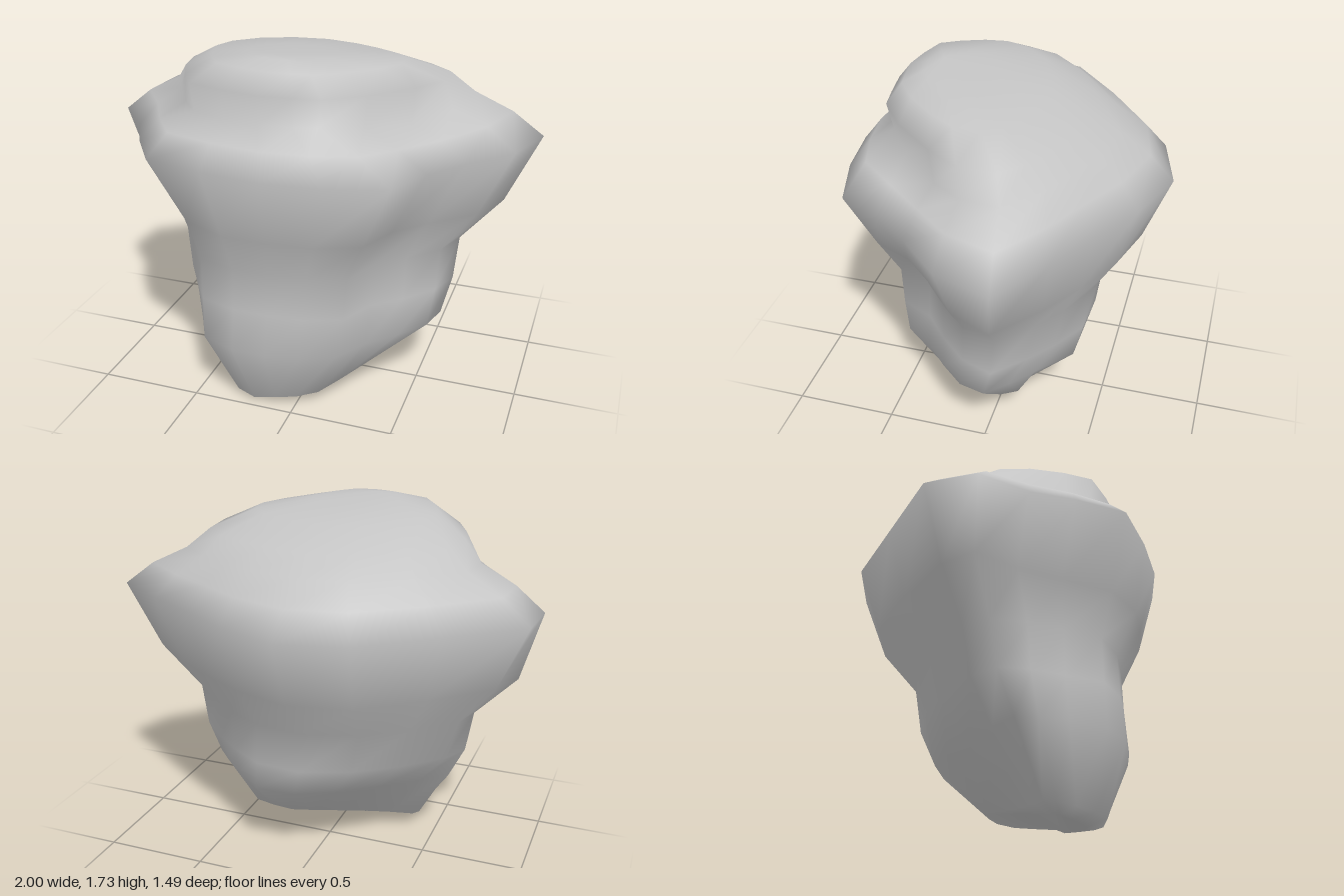
import * as THREE from 'three';

// Outlines as x, z pairs, running from the front towards +x and round the back
const foot = [-.1, .45, 0, .43, .1, .38, .18, .28, .26, .17, .33, .05, .38, -.05, .35, -.13, .25, -.15, .15, -.15,
  .05, -.08, -.05, 0, -.15, .08, -.27, .16, -.38, .22, -.4, .28, -.37, .36, -.3, .43, -.2, .47];
const lower = [-.1, .57, .06, .55, .22, .48, .32, .34, .45, .22, .56, .1, .6, -.03, .51, -.13, .4, -.23, .24, -.38,
  .04, -.37, -.13, -.27, -.3, -.13, -.46, .02, -.58, .14, -.57, .24, -.51, .36, -.43, .51, -.26, .57];
const waist = [-.08, .55, .1, .54, .27, .48, .34, .31, .47, .2, .6, .06, .66, -.1, .5, -.25, .37, -.35, .2, -.43,
  -.03, -.46, -.28, -.38, -.48, -.25, -.67, -.07, -.71, .06, -.64, .21, -.54, .35, -.43, .5, -.25, .55];
const shoulder = [-.05, .65, .16, .63, .36, .55, .44, .37, .57, .23, .76, .06, .85, -.14, .63, -.32, .44, -.44, .24, -.55,
  -.03, -.63, -.32, -.57, -.59, -.36, -.84, -.12, -.91, .04, -.74, .19, -.61, .36, -.46, .56, -.25, .65];
const rim = [-.03, .74, .23, .71, .5, .63, .6, .43, .73, .26, .91, .07, 1, -.19, .74, -.36, .5, -.49, .26, -.64,
  -.03, -.75, -.34, -.67, -.66, -.42, -.98, -.17, -1, .07, -.83, .26, -.73, .45, -.59, .65, -.31, .71];
const ledge = [-.1, .56, .05, .54, .15, .51, .31, .39, .47, .21, .62, .05, .68, -.14, .52, -.28, .36, -.37, .2, -.45,
  -.03, -.5, -.26, -.46, -.5, -.3, -.68, -.1, -.7, .08, -.62, .22, -.52, .38, -.43, .48, -.27, .53];
const crown = [-.1, .57, .05, .55, .17, .53, .33, .41, .49, .22, .58, .07, .57, -.1, .46, -.2, .33, -.27, .18, -.33,
  -.03, -.37, -.25, -.33, -.45, -.22, -.58, -.07, -.62, .08, -.59, .22, -.52, .37, -.44, .49, -.27, .54];
const COUNT = rim.length / 2;

const mix = (a, b, t) => a.map((v, i) => v + (b[i] - v) * t);

// Shrink an outline towards a centre point
const shrink = (outline, s, centre) => outline.map((v, i) => centre[i % 2] + (v - centre[i % 2]) * s);

// Set an outline at a height, tilted along x and z, with a hollow sunk at the front left
function section(outline, y, slopeX = 0, slopeZ = 0, hollow = 0) {
  return Array.from({ length: COUNT }, (_, i) => {
    const x = outline[2 * i], z = outline[2 * i + 1];
    const sink = hollow * Math.exp(-((x - .5) ** 2 + (z - .25) ** 2) / .05);
    return [x, y + slopeX * x + slopeZ * z - sink, z];
  });
}

// Skin stacked sections and close both ends with a fan
function loft(sections, bottom, top) {
  const points = [...sections.flat(), bottom, top];
  const low = points.length - 2, high = points.length - 1;
  const last = (sections.length - 1) * COUNT;
  const index = [];
  for (let i = 0; i < COUNT; i++) {
    const j = (i + 1) % COUNT;
    for (let r = 0; r < last; r += COUNT) {
      const a = r + i, b = r + j, c = b + COUNT, d = a + COUNT;
      index.push(a, b, c, a, c, d);
    }
    index.push(low, j, i, high, last + i, last + j);
  }
  const geometry = new THREE.BufferGeometry();
  geometry.setAttribute('position', new THREE.Float32BufferAttribute(points.flat(), 3));
  geometry.setIndex(index);
  geometry.computeVertexNormals();
  return geometry;
}

export function createModel() {
  const stone = new THREE.MeshStandardMaterial({ color: 0xc4c4c4 });
  stone.name = 'grey stone';
  const footCentre = [-.1, .27], topCentre = [-.05, .33];

  const sections = [
    // slanted foot, leaning to the front
    section(shrink(foot, .5, footCentre), .16, .05, -.4),
    section(foot, .14, .06, -.22),
    section(lower, .38, 0, -.06),
    // narrow body
    section(mix(lower, waist, .7), .56),
    section(waist, .77),
    // overhanging shoulder and rim
    section(shoulder, .98),
    section(rim, 1.3),
    // ledge with a hollow, then the crown
    section(mix(rim, ledge, .45), 1.41, 0, -.01, .03),
    section(ledge, 1.495, 0, -.03, .06),
    section(crown, 1.595, 0, .03),
    section(shrink(crown, .72, topCentre), 1.675, -.01, .04),
    section(shrink(crown, .35, topCentre), 1.7, -.02, .06),
  ];

  const rock = new THREE.Mesh(loft(sections, [-.1, 0, .27], [-.12, 1.73, .35]), stone);
  rock.name = 'rock';
  const model = new THREE.Group();
  model.name = 'boulder';
  model.add(rock);
  return model;
}
